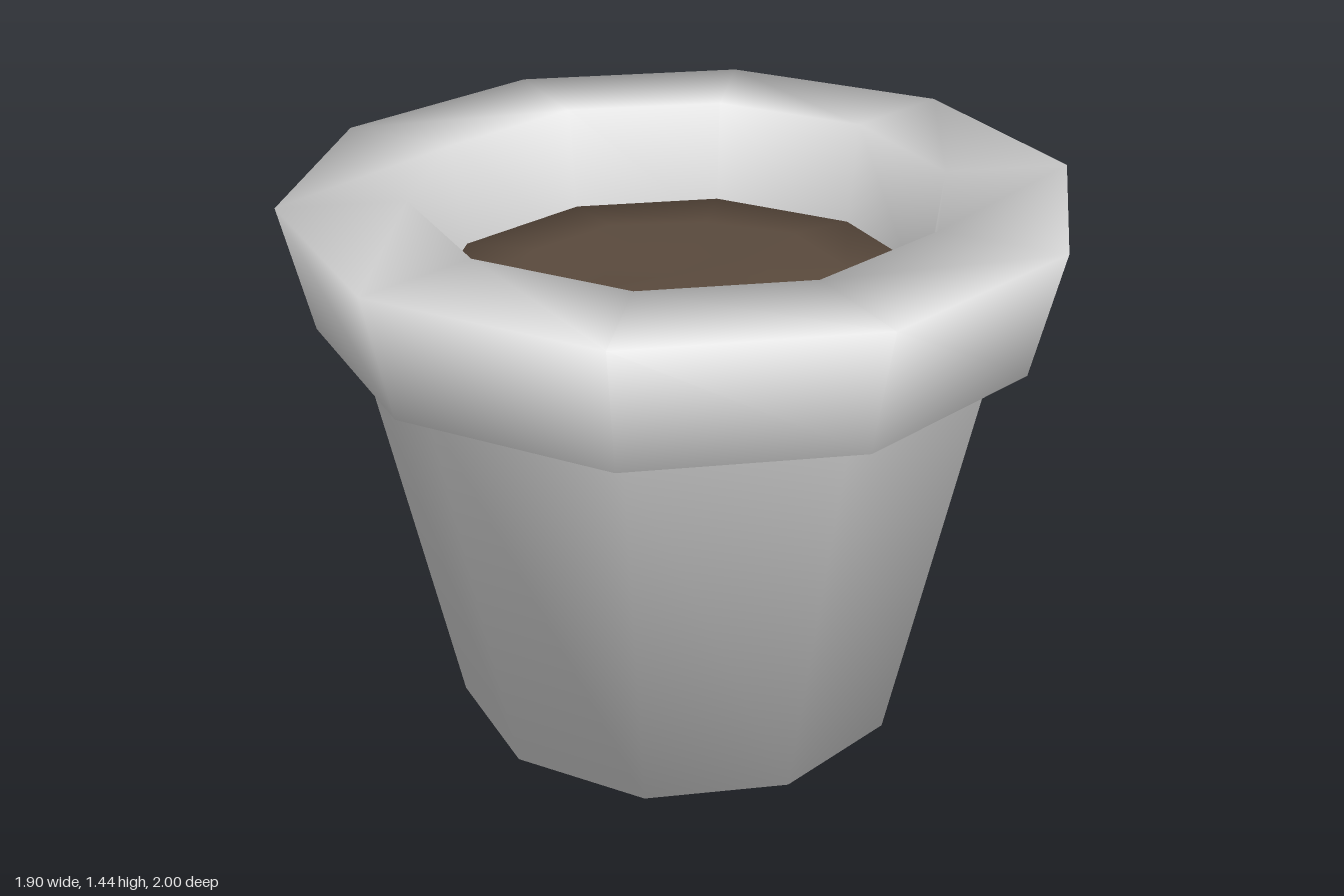
import * as THREE from 'three';
import { mergeVertices } from 'three/addons/utils/BufferGeometryUtils.js';

const SIDES = 10;

const clay = new THREE.MeshStandardMaterial({ color: 0xdcdcdc });
clay.name = 'paleGreyClay';
const earth = new THREE.MeshStandardMaterial({ color: 0x5a4a3d });
earth.name = 'brownSoil';

// Ten-sided solid turned from [radius, height] points
function turn(profile) {
  return new THREE.LatheGeometry(profile.map(([r, y]) => new THREE.Vector2(r, y)), SIDES);
}

function part(name, geometry, material) {
  const mesh = new THREE.Mesh(geometry, material);
  mesh.name = name;
  return mesh;
}

export function createModel() {
  const model = new THREE.Group();
  model.name = 'flowerPot';

  // Tapered body, overhanging lip and inner wall in one smooth shell
  model.add(part('potShell', turn([
    [0, 0], [0.605, 0.005],
    [0.835, 1.115], [0.925, 1.115],
    [1.0, 1.44], [0.68, 1.44],
    [0.635, 1.08],
  ]), clay));

  // Soil: a lumpy disc with a short skirt tucked inside the wall
  const soil = turn([
    [0.625, 1.06], [0.645, 1.17], [0.43, 1.185], [0.21, 1.185], [0, 1.195],
  ]);
  const pos = soil.attributes.position;
  for (let i = 0; i < pos.count; i++) {
    const x = pos.getX(i), z = pos.getZ(i), r = Math.hypot(x, z);
    if (r < 0.55) {
      pos.setY(i, pos.getY(i) + 0.015 * Math.sin(9 * x + 2) * Math.cos(8 * z - 1));
    }
  }
  soil.deleteAttribute('uv');
  soil.deleteAttribute('normal');
  const smoothSoil = mergeVertices(soil, 0.001);
  smoothSoil.computeVertexNormals();
  model.add(part('soil', smoothSoil, earth));

  return model;
}
